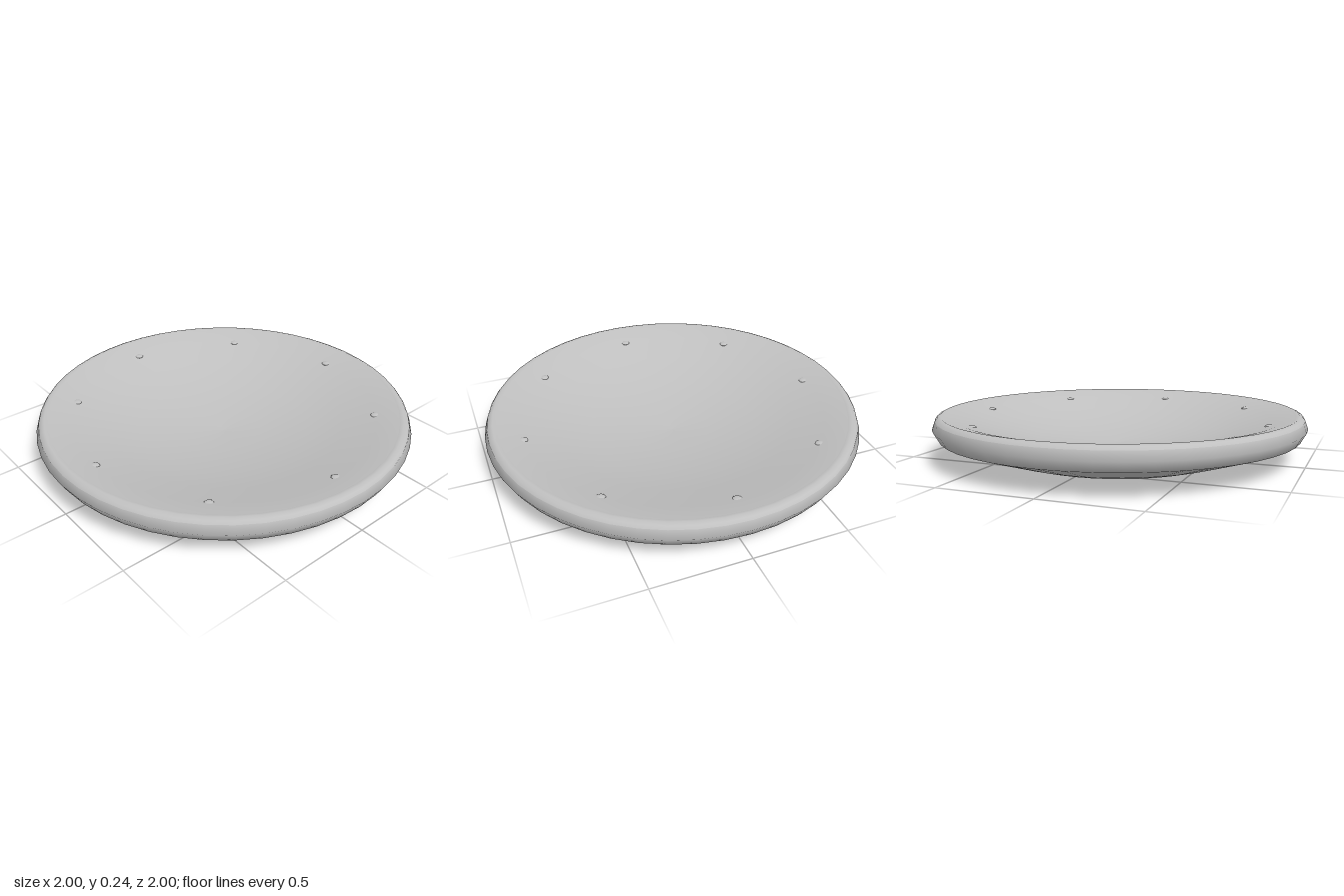
import * as THREE from 'three';

const SEGMENTS = 48;

// Turns a list of [radius, height] pairs into a round surface
function lathe(profile, material, name) {
  const points = profile.map(([r, y]) => new THREE.Vector2(r, y));
  const mesh = new THREE.Mesh(new THREE.LatheGeometry(points, SEGMENTS), material);
  mesh.name = name;
  return mesh;
}

export function createModel() {
  const group = new THREE.Group();
  group.name = 'dish';
  const metal = new THREE.MeshStandardMaterial({ color: 0xc0c0c0 });
  metal.name = 'silver grey';

  // Underside and outer wall
  group.add(lathe([
    [0, 0], [0.59, 0], [0.69, 0.03], [0.97, 0.122],
    [1, 0.175], [0.984, 0.22],
  ], metal, 'outerShell'));

  // Low rounded lip
  group.add(lathe([
    [0.984, 0.22], [0.973, 0.234], [0.955, 0.242], [0.935, 0.236],
  ], metal, 'rim'));

  // Shallow hollow, running from the rim down to the centre
  group.add(lathe([
    [0.935, 0.236], [0.88, 0.224], [0.82, 0.207], [0.65, 0.158],
    [0.45, 0.105], [0.2, 0.07], [0, 0.062],
  ], metal, 'innerBowl'));

  // Ring of eight small studs, almost sunk into the slope of the bowl
  const studGeometry = new THREE.SphereGeometry(0.025, 16, 10);
  for (let i = 0; i < 8; i++) {
    const angle = (i * Math.PI) / 4;
    const stud = new THREE.Mesh(studGeometry, metal);
    stud.name = 'stud';
    stud.position.set(0.815 * Math.cos(angle), 0.201, 0.815 * Math.sin(angle));
    stud.scale.y = 0.4;
    group.add(stud);
  }
  return group;
}
